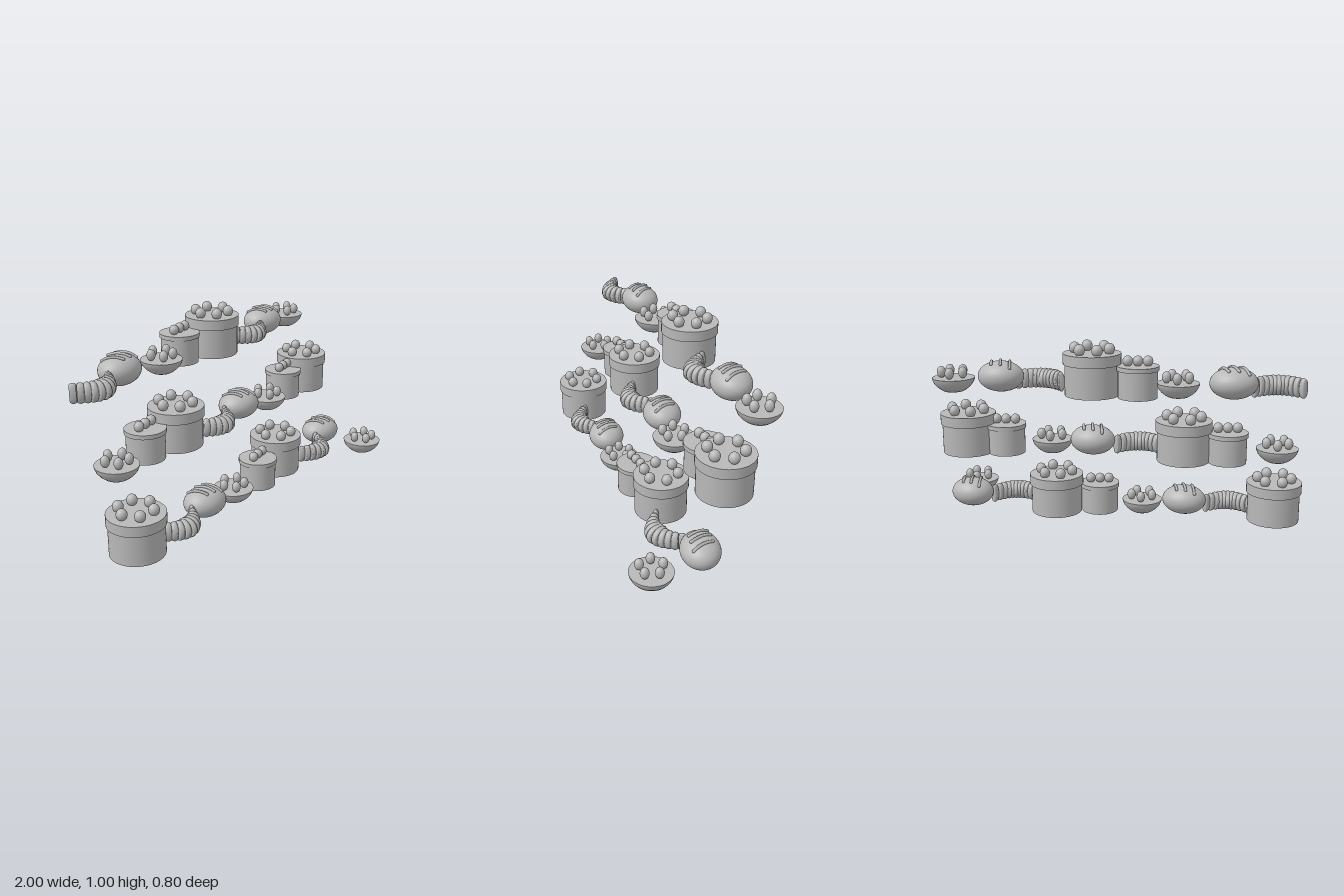
import * as THREE from 'three';

const glaze = new THREE.MeshStandardMaterial({ color: 0xb8b8b8 });
glaze.name = 'plain grey';

function add(parent, name, geometry, x = 0, y = 0, z = 0) {
  const mesh = new THREE.Mesh(geometry, glaze);
  mesh.name = name;
  mesh.position.set(x, y, z);
  parent.add(mesh);
  return mesh;
}

// Slightly tall round berry
const berryShape = new THREE.SphereGeometry(1, 20, 14);
function berry(parent, x, y, z, r, h) {
  add(parent, 'berry', berryShape, x, y, z).scale.set(r, h, r);
}

function berryRing(parent, count, radius, start, y, r, h) {
  for (let i = 0; i < count; i++) {
    const a = start + (i / count) * Math.PI * 2;
    berry(parent, Math.cos(a) * radius, y, Math.sin(a) * radius, r, h);
  }
}

// Large cake: body, overhanging icing, six berries
function largeCake() {
  const g = new THREE.Group();
  add(g, 'cakeBody', new THREE.CylinderGeometry(0.14, 0.14, 0.165, 48), 0, 0.0825, 0);
  add(g, 'icing', new THREE.CylinderGeometry(0.148, 0.148, 0.055, 48), 0, 0.1875, 0);
  berryRing(g, 6, 0.09, 0.06, 0.238, 0.028, 0.03);
  return g;
}

// Small cake: body, thin icing, three berries in a row
function smallCake() {
  const g = new THREE.Group();
  add(g, 'cakeBody', new THREE.CylinderGeometry(0.1, 0.1, 0.145, 40), 0, 0.0725, 0);
  add(g, 'icing', new THREE.CylinderGeometry(0.107, 0.107, 0.023, 40), 0, 0.1505, 0);
  for (const i of [-1, 0, 1]) berry(g, i * 0.05, 0.185, -i * 0.007, 0.026, 0.027);
  return g;
}

// Tart: shallow bowl-shaped crust with five berries
function tart() {
  const g = new THREE.Group();
  const profile = [[0, 0], [0.05, 0], [0.065, 0.008], [0.085, 0.024], [0.1, 0.042],
    [0.108, 0.06], [0.11, 0.071], [0.11, 0.071], [0, 0.071]];
  add(g, 'crust', new THREE.LatheGeometry(profile.map(p => new THREE.Vector2(...p)), 40));
  berryRing(g, 5, 0.06, -Math.PI / 2, 0.101, 0.023, 0.03);
  return g;
}

// Bread: rounded loaf with three raised slanted scores
function bread() {
  const g = new THREE.Group();
  const [a, b, c] = [0.121, 0.079, 0.101];
  add(g, 'loaf', new THREE.SphereGeometry(1, 40, 28), 0, 0.082, 0).scale.set(a, b, c);
  for (const cx of [-0.05, 0, 0.05]) {
    const pts = [-1, -0.5, 0, 0.5, 1].map(t => {
      const x = cx + t * 0.02, z = t * 0.052;
      const y = 0.082 + b * Math.sqrt(1 - (x / a) ** 2 - (z / c) ** 2);
      return new THREE.Vector3(x, y + 0.003, z);
    });
    add(g, 'score', new THREE.TubeGeometry(new THREE.CatmullRomCurve3(pts), 10, 0.008, 6));
    for (const p of [pts[0], pts[4]]) {
      add(g, 'scoreEnd', berryShape, p.x, p.y, p.z).scale.setScalar(0.008);
    }
  }
  return g;
}

// Croissant: barrel segments along a crescent, narrowing in plan toward the tips
const barrel = new THREE.LatheGeometry(
  [[0, -1], [0.86, -1], [0.95, -0.6], [1, 0], [0.95, 0.6], [0.86, 1], [0, 1]]
    .map(p => new THREE.Vector2(...p)), 28);
barrel.rotateZ(-Math.PI / 2);
function croissant() {
  const g = new THREE.Group();
  const n = 11;
  for (let i = 0; i < n; i++) {
    const t = (i / (n - 1)) * 2 - 1;
    const segment = add(g, 'segment', barrel, t * 0.117, 0.06, -0.07 * t * t);
    segment.scale.set(0.0165, 0.052, 0.06 - 0.042 * Math.abs(t) ** 1.3);
    segment.rotation.y = Math.atan(1.2 * t);
  }
  return g;
}

// Each tier: base height and [builder, x, z, turn]
const tiers = [
  [0.003, [
    [largeCake, -0.852, 0.04], [croissant, -0.605, 0.145], [bread, -0.365, 0.06, -0.15],
    [tart, -0.13, 0.065], [smallCake, 0.108, 0.055], [largeCake, 0.345, 0.008],
    [croissant, 0.62, 0.145, 0.2], [bread, 0.838, 0.01, -0.2], [tart, 0.885, 0.285]]],
  [0.368, [
    [tart, -0.855, -0.07], [smallCake, -0.598, -0.125], [largeCake, -0.37, -0.123],
    [croissant, -0.125, -0.005, 0.08], [bread, 0.12, -0.09, -0.15], [tart, 0.347, -0.06],
    [smallCake, 0.59, -0.115], [largeCake, 0.798, -0.123]]],
  [0.733, [
    [croissant, -0.84, -0.158, 0.05], [bread, -0.622, -0.258, 0.1], [tart, -0.345, -0.235],
    [smallCake, -0.147, -0.283], [largeCake, 0.09, -0.253],
    [croissant, 0.358, -0.16, -0.15], [bread, 0.567, -0.255, -0.1], [tart, 0.817, -0.27]]],
];

export function createModel() {
  const model = new THREE.Group();
  model.name = 'pastryDisplay';
  for (const [y, items] of tiers) {
    for (const [build, x, z, turn = 0] of items) {
      const item = build();
      item.name = build.name;
      item.position.set(x, y, z);
      item.rotation.y = turn;
      model.add(item);
    }
  }
  return model;
}
